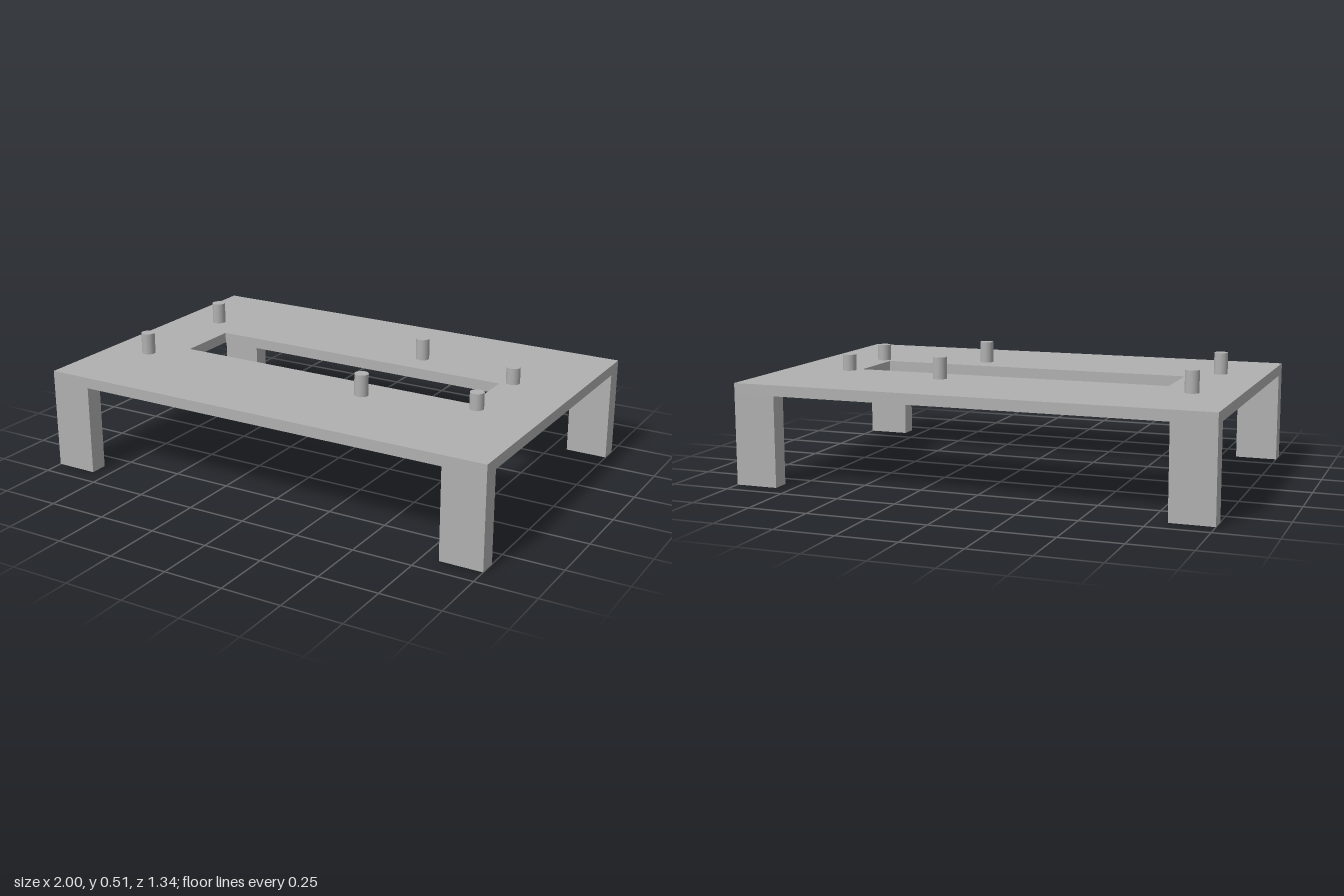
import * as THREE from 'three';

const grey = new THREE.MeshStandardMaterial({ color: 0xb0b0b0 });
grey.name = 'grey';

const W = 2, D = 1.336, UNDER = 0.379, TOP = 0.424;

function rectangle(path, hx, hz) {
  path.moveTo(-hx, -hz);
  path.lineTo(hx, -hz);
  path.lineTo(hx, hz);
  path.lineTo(-hx, hz);
  path.closePath();
  return path;
}

export function createModel() {
  const model = new THREE.Group();
  model.name = 'mountingStand';

  const add = (name, geometry, x, y, z) => {
    const mesh = new THREE.Mesh(geometry, grey);
    mesh.name = name;
    mesh.position.set(x, y, z);
    model.add(mesh);
  };

  // Flat plate with a long slot
  const outline = rectangle(new THREE.Shape(), W / 2, D / 2);
  outline.holes.push(rectangle(new THREE.Path(), 0.682, 0.137));
  const plate = new THREE.ExtrudeGeometry(outline, { depth: TOP - UNDER, bevelEnabled: false });
  plate.rotateX(-Math.PI / 2);
  add('plate', plate, 0, UNDER, 0);

  // Corner legs
  const legW = 0.18, legD = 0.076;
  const leg = new THREE.BoxGeometry(legW, UNDER, legD);
  for (const sx of [-1, 1]) {
    for (const sz of [-1, 1]) {
      add(`${sz > 0 ? 'front' : 'back'}${sx > 0 ? 'Left' : 'Right'}Leg`, leg,
        sx * (W - legW) / 2, UNDER / 2, sz * (D - legD) / 2);
    }
  }

  // Mirrored pairs of round pegs: x, z, top height
  const pegs = [[-0.808, 0.267, 0.515], [0.261, 0.267, 0.515], [0.726, 0.174, 0.493]];
  for (const [x, z, top] of pegs) {
    const peg = new THREE.CylinderGeometry(0.029, 0.029, top - TOP, 32);
    for (const s of [-1, 1]) add('peg', peg, x, (top + TOP) / 2, s * z);
  }

  return model;
}
